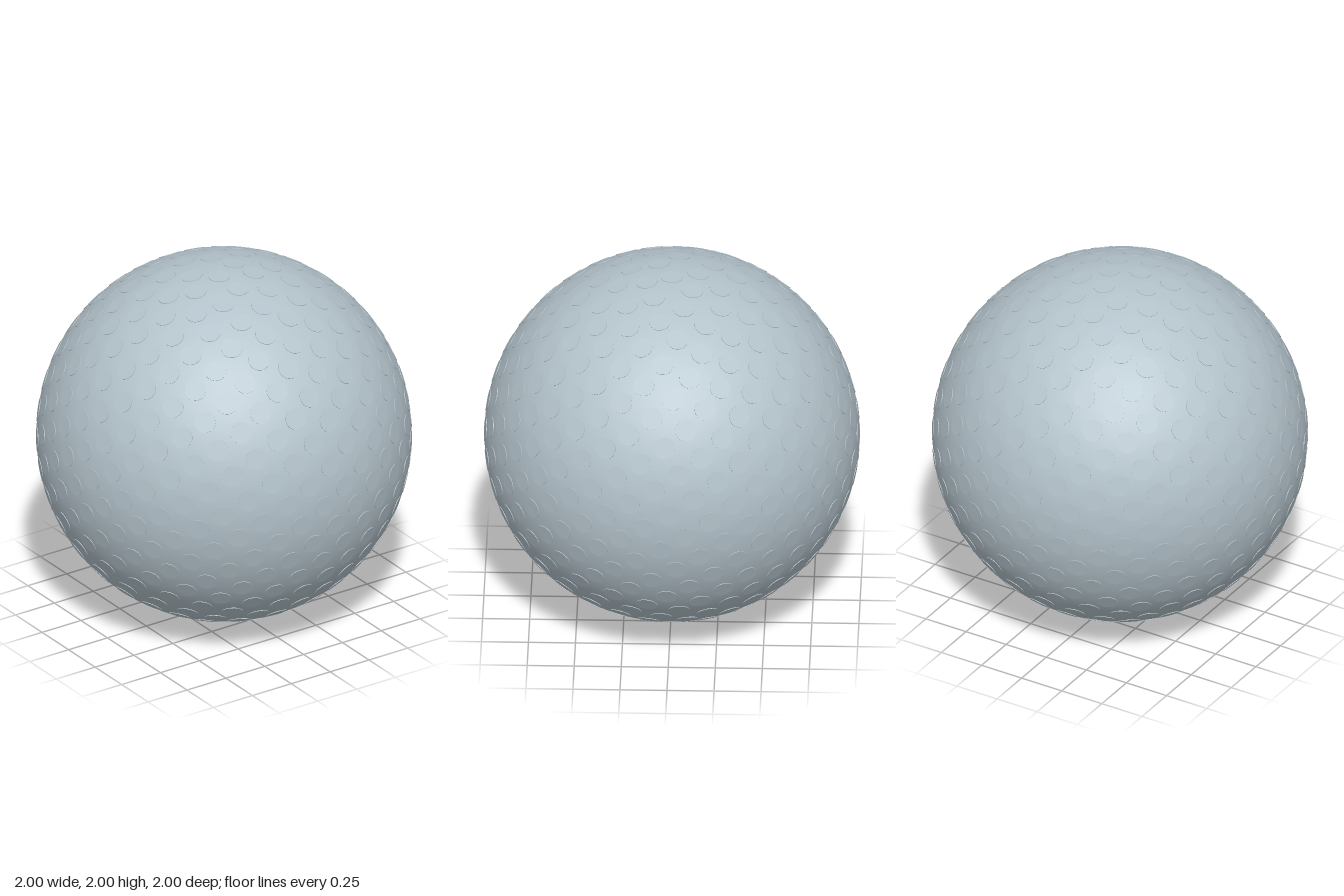
import * as THREE from 'three';
import { mergeGeometries } from 'three/addons/utils/BufferGeometryUtils.js';

const DIMPLES = 500;
const DIMPLE_RADIUS = 0.057;
const GOLDEN_ANGLE = Math.PI * (3 - Math.sqrt(5));

// Evenly spread directions along a golden spiral from top to bottom
function spiralDirection(i) {
  const y = 1 - (2 * (i + 0.5)) / DIMPLES;
  const r = Math.sqrt(1 - y * y);
  const a = i * GOLDEN_ANGLE;
  return new THREE.Vector3(Math.cos(a) * r, y, Math.sin(a) * r);
}

export function createModel() {
  const ball = new THREE.Group();
  ball.name = 'dimpledBall';
  const cover = new THREE.MeshStandardMaterial({ color: 0xb3c2ca });
  cover.name = 'pale blue grey';

  // Smooth round core
  const core = new THREE.Mesh(new THREE.SphereGeometry(0.997, 128, 80), cover);
  core.name = 'core';
  core.position.y = 1;

  // Shallow flat round facets, sunk into the core so only a thin rim shows
  const up = new THREE.Vector3(0, 1, 0);
  const turn = new THREE.Quaternion();
  const discs = [];
  for (let i = 0; i < DIMPLES; i++) {
    const dir = spiralDirection(i);
    const disc = new THREE.CylinderGeometry(DIMPLE_RADIUS, DIMPLE_RADIUS, 0.008, 28);
    disc.translate(0, 0.9943, 0);
    disc.applyQuaternion(turn.setFromUnitVectors(up, dir));
    discs.push(disc);
  }
  const dimples = new THREE.Mesh(mergeGeometries(discs), cover);
  dimples.name = 'dimples';
  dimples.position.y = 1;

  ball.add(core, dimples);
  return ball;
}
